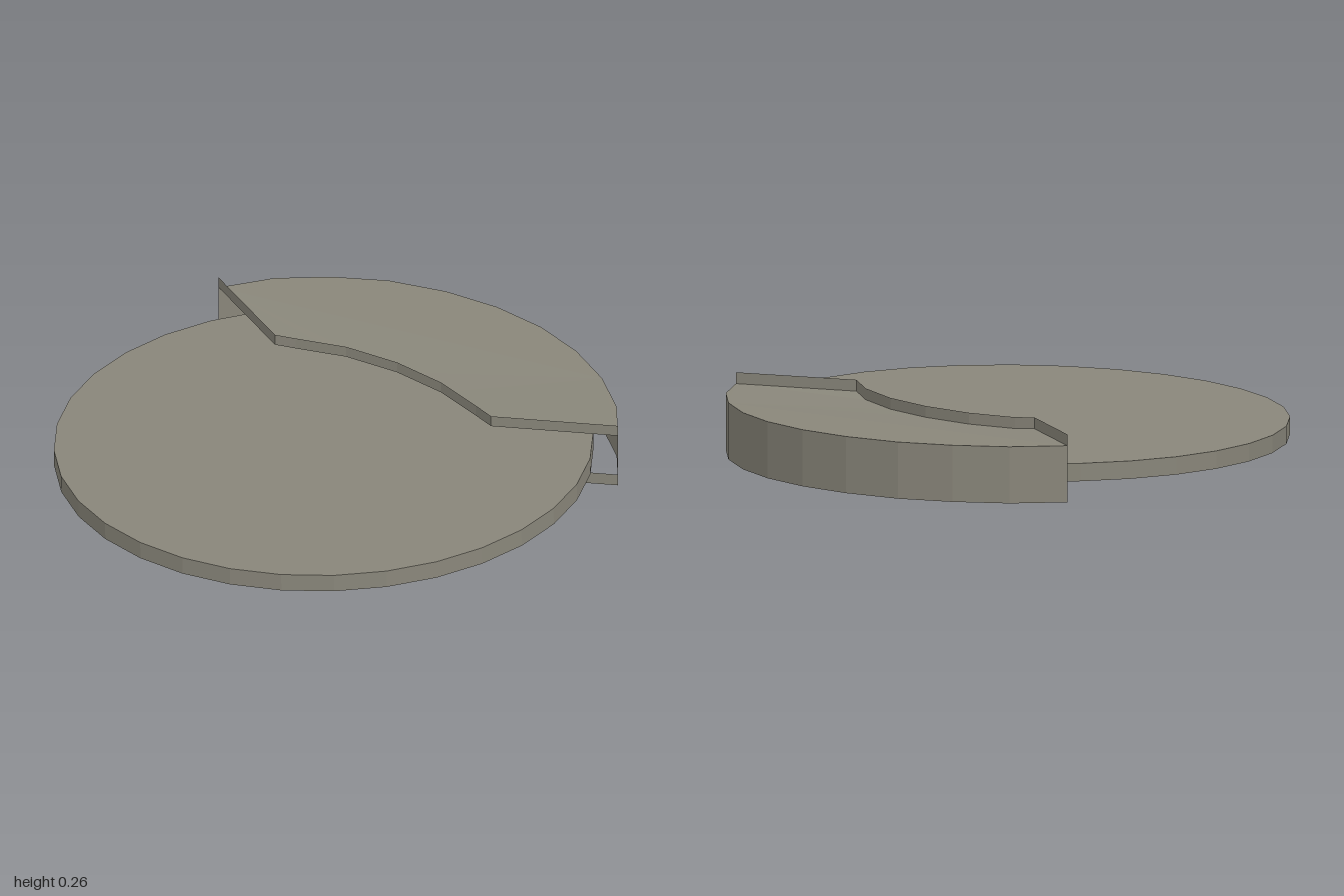
import * as THREE from 'three';

export function createModel() {
  const model = new THREE.Group();
  const metal = new THREE.MeshStandardMaterial({ color: 0x89867a, flatShading: true, side: THREE.DoubleSide });
  metal.name = 'warm grey metal';

  const add = (name, geometry) => {
    const mesh = new THREE.Mesh(geometry, metal);
    mesh.name = name;
    model.add(mesh);
    return mesh;
  };

  // Thin surface between two rows of [x, y, z] points
  const ribbon = (a, b) => {
    const pos = [];
    for (let i = 0; i < a.length - 1; i++) {
      pos.push(...a[i], ...a[i + 1], ...b[i + 1], ...a[i], ...b[i + 1], ...b[i]);
    }
    const geometry = new THREE.BufferGeometry();
    geometry.setAttribute('position', new THREE.Float32BufferAttribute(pos, 3));
    geometry.computeVertexNormals();
    return geometry;
  };

  // Slightly tilted round disc
  const discGeometry = new THREE.CylinderGeometry(0.963, 0.963, 0.065, 32);
  discGeometry.rotateY(0.086);
  const disc = add('disc', discGeometry);
  disc.position.set(0, 0.13, 0.04);
  disc.rotation.z = 0.02;

  // Outline of the caliper cover: outer arc [x, z], inner edge [x, z, sag]
  const outer = [[-0.88, -0.52], [-0.76, -0.69], [-0.6, -0.82], [-0.42, -0.92], [-0.21, -0.98], [0, -1],
    [0.21, -0.98], [0.41, -0.92], [0.6, -0.82], [0.76, -0.69], [0.885, -0.53]];
  const inner = [[-0.88, -0.52, 0], [-0.49, -0.33, 0.01], [-0.42, -0.36, 0.015], [-0.24, -0.42, 0.015],
    [-0.03, -0.44, 0.015], [0.18, -0.42, 0.015], [0.38, -0.36, 0.013], [0.48, -0.315, 0], [0.885, -0.53, 0]];
  const outerAt = (y) => outer.map(([x, z]) => [x, y, z]);
  const innerAt = (y) => inner.map(([x, z, sag]) => [x, y - sag, z]);

  // Curved wall around the back
  add('caliperWall', ribbon(outerAt(0.02), outerAt(0.225)));

  // Upstanding top lip and floating lower lip along the inner edge
  add('upperLip', ribbon(innerAt(0.225), innerAt(0.266)));
  add('lowerLip', ribbon(innerAt(0.02), innerAt(0.064)));

  // Top cover, filled between the arc and the inner edge
  const contour = [...outer, ...inner.slice(1, -1).reverse()];
  const heights = [...outer.map(() => 0.225), ...inner.slice(1, -1).reverse().map((p) => 0.225 - p[2])];
  const faces = THREE.ShapeUtils.triangulateShape(contour.map(([x, z]) => new THREE.Vector2(x, z)), []);
  const cover = new THREE.BufferGeometry();
  cover.setAttribute('position', new THREE.Float32BufferAttribute(
    contour.flatMap(([x, z], i) => [x, heights[i], z]), 3));
  // Order the corners so the cover faces up
  cover.setIndex(faces.flatMap(([a, b, c]) => {
    const [p, q, r] = [contour[a], contour[b], contour[c]];
    const turn = (q[0] - p[0]) * (r[1] - p[1]) - (q[1] - p[1]) * (r[0] - p[0]);
    return turn < 0 ? [a, b, c] : [a, c, b];
  }));
  cover.computeVertexNormals();
  add('caliperCover', cover);

  return model;
}
